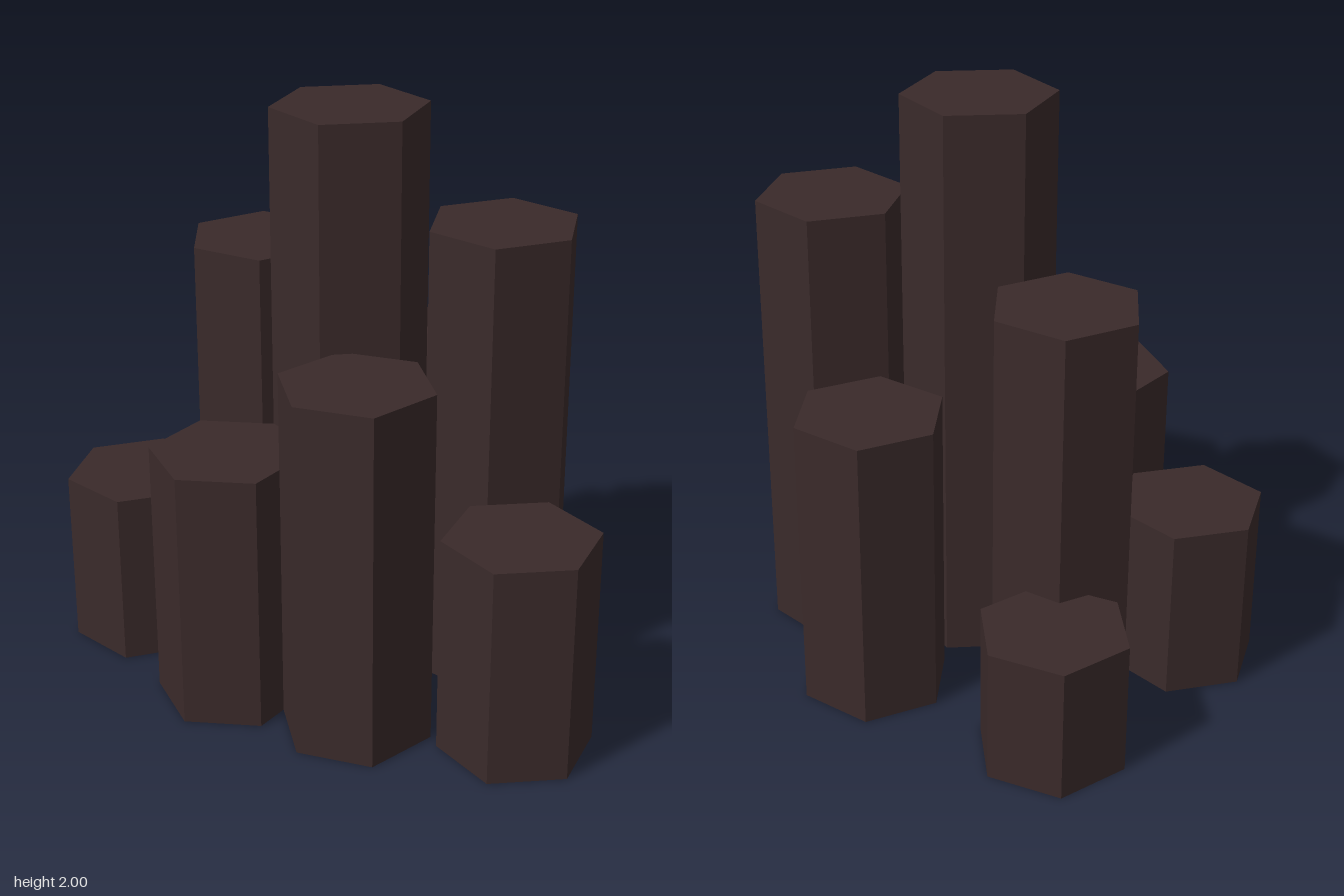
import * as THREE from 'three';

const RADIUS = 0.26;

// One hexagonal prism per entry: name, centre x, centre z, height, turn about y
const COLUMNS = [
  ['centreColumn', 0.026, 0.09, 2.0, 0],
  ['rightColumn', 0.504, -0.053, 1.62, 0.2],
  ['innerLeftColumn', -0.4, -0.15, 1.43, 0.395],
  ['frontColumn', 0.218, 0.517, 1.24, 0.58],
  ['backColumn', 0.169, -0.434, 1.05, 0.357],
  ['frontLeftColumn', -0.255, 0.471, 0.905, -0.25],
  ['frontRightColumn', 0.742, 0.424, 0.763, -0.04],
  ['outerLeftColumn', -0.732, 0.185, 0.62, 0.16],
  ['backLeftColumn', -0.543, -0.529, 0.477, 0.54],
];

export function createModel() {
  const model = new THREE.Group();
  model.name = 'basaltColumns';

  const basalt = new THREE.MeshStandardMaterial({ color: 0x3a2a2a, flatShading: true });
  basalt.name = 'dark basalt';

  for (const [name, x, z, height, turn] of COLUMNS) {
    const column = new THREE.Mesh(new THREE.CylinderGeometry(RADIUS, RADIUS, height, 6), basalt);
    column.name = name;
    column.position.set(x, height / 2, z);
    column.rotation.y = turn;
    model.add(column);
  }
  return model;
}
